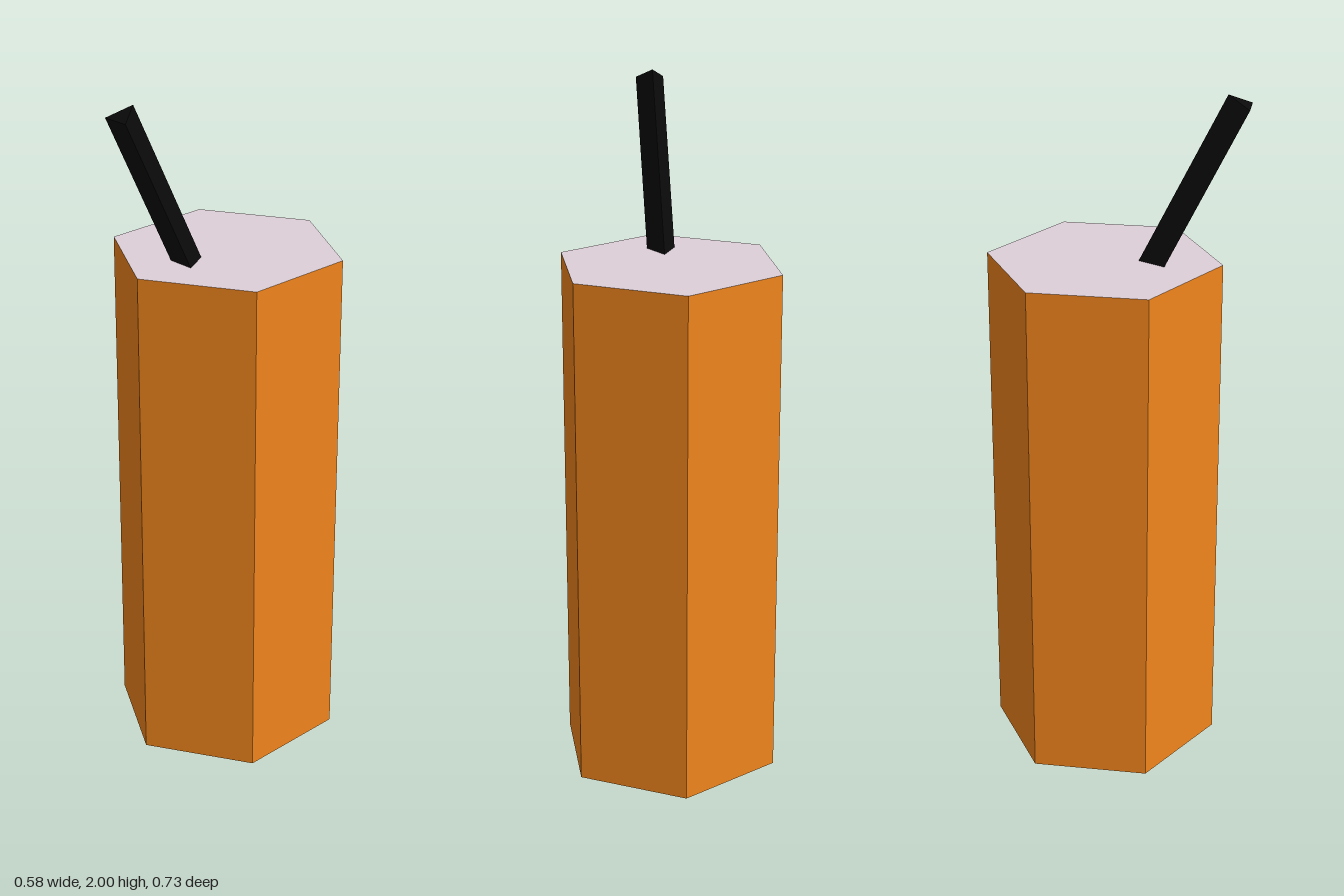
import * as THREE from 'three';

const RADIUS = 0.334, HEIGHT = 1.515, CENTER_Z = -0.0325;

function part(name, geometry, color) {
  const material = new THREE.MeshStandardMaterial({ color, flatShading: true });
  const mesh = new THREE.Mesh(geometry, material);
  mesh.name = name;
  return mesh;
}

// Hexagonal end face with a corner on the z axis, facing up or down
function hexFace(name, y, up, color) {
  const geometry = new THREE.CircleGeometry(RADIUS, 6, Math.PI / 2);
  geometry.rotateX(up ? -Math.PI / 2 : Math.PI / 2);
  const face = part(name, geometry, color);
  face.position.y = y;
  return face;
}

export function createModel() {
  const model = new THREE.Group();
  model.name = 'drinkCup';

  // Six-sided cup with a pale top
  const cup = new THREE.Group();
  cup.name = 'cup';
  cup.position.z = CENTER_Z;
  const wall = part('cupWall', new THREE.CylinderGeometry(RADIUS, RADIUS, HEIGHT, 6, 1, true), 0xf0851c);
  wall.position.y = HEIGHT / 2;
  cup.add(wall, hexFace('cupBase', 0, false, 0xf0851c), hexFace('lid', HEIGHT, true, 0xddcfd8));
  model.add(cup);

  // Three-sided straw leaning forward, its lower end sunk just below the lid
  const length = 0.6;
  const geometry = new THREE.CylinderGeometry(0.0462, 0.0462, length, 3, 1, false, Math.PI);
  geometry.translate(0, -length / 2, 0);
  const straw = part('straw', geometry, 0x0a0a0a);
  straw.position.set(0, 1.9795, 0.346);
  straw.rotation.x = 0.459;
  model.add(straw);

  return model;
}
